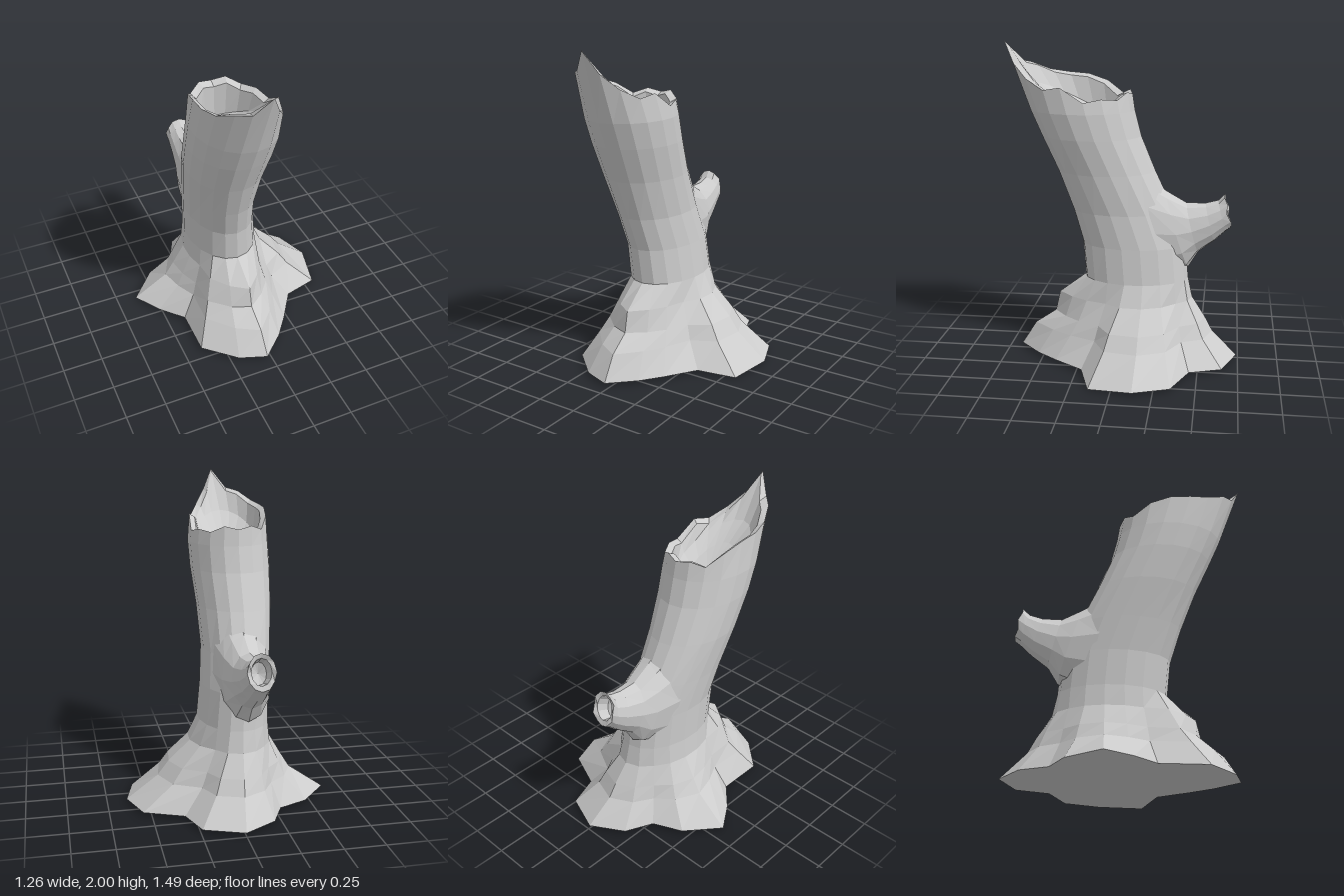
import * as THREE from 'three';

const V = (x, y, z) => new THREE.Vector3(x, y, z);
const material = new THREE.MeshStandardMaterial({ color: 0xcccccc, flatShading: true });
const N = 18; // columns round the trunk, starting at the front and turning towards +x

// Skin closed rings of points, skipping triangles that collapse at a cap.
function loft(name, rings) {
  const pos = [];
  const tri = (a, b, c) => {
    if (a.distanceTo(b) > 1e-5 && b.distanceTo(c) > 1e-5 && c.distanceTo(a) > 1e-5)
      pos.push(...a, ...b, ...c);
  };
  for (let i = 0; i + 1 < rings.length; i++) {
    const lo = rings[i], hi = rings[i + 1], n = lo.length;
    for (let j = 0; j < n; j++) {
      const k = (j + 1) % n;
      tri(lo[j], lo[k], hi[k]);
      tri(lo[j], hi[k], hi[j]);
    }
  }
  const geometry = new THREE.BufferGeometry();
  geometry.setAttribute('position', new THREE.Float32BufferAttribute(pos, 3));
  geometry.computeVertexNormals();
  const mesh = new THREE.Mesh(geometry, material);
  mesh.name = name;
  return mesh;
}

// Leaning trunk sections: height, front z, back z, min x, max x
const sections = [
  [0.52, 0.24, -0.42, -0.27, 0.17],
  [0.74, 0.26, -0.40, -0.275, 0.145],
  [0.95, 0.325, -0.32, -0.30, 0.125],
  [1.20, 0.42, -0.20, -0.335, 0.135],
  [1.42, 0.52, -0.11, -0.35, 0.155],
  [1.58, 0.59, -0.07, -0.35, 0.16],
  [1.74, 0.65, -0.045, -0.345, 0.14],
  [2.00, 0.745, 0.05, -0.29, 0.13],
];

// Point on the trunk at height y in column j, shrunk towards the axis by s
function trunkPoint(y, j, s = 1) {
  let i = 0;
  while (i < sections.length - 2 && y > sections[i + 1][0]) i++;
  const a = sections[i], b = sections[i + 1], t = (y - a[0]) / (b[0] - a[0]);
  const [, front, back, x0, x1] = a.map((v, k) => v + (b[k] - v) * t);
  const ang = (j / N) * Math.PI * 2;
  return V((x0 + x1) / 2 + Math.sin(ang) * (x1 - x0) / 2 * s, y,
    (front + back) / 2 + Math.cos(ang) * (front - back) / 2 * s);
}

const ring = (fn) => Array.from({ length: N }, (_, j) => fn(j));

// Ground outline of the roots (x, z) and how far each root bulges (lower = fuller)
const outline = [
  [-0.03, 0.67], [0.12, 0.53], [0.22, 0.40], [0.345, 0.215], [0.57, 0.14], [0.63, -0.13],
  [0.55, -0.35], [0.31, -0.45], [0.24, -0.65], [0, -0.74], [-0.2, -0.62], [-0.28, -0.45],
  [-0.46, -0.37], [-0.63, -0.17], [-0.52, 0], [-0.39, 0.14], [-0.39, 0.435], [-0.2, 0.61],
];
const bulge = [1, 1, 1, 1.1, 0.9, 0.9, 1, 1.2, 1.1, 1.1, 1.1, 1.2, 1.3, 1.5, 1.4, 1.2, 0.9, 1];
// Root spread by height: y, general spread, spread of the stepped front root
const flare = [[0.02, 1, 1], [0.17, 0.54, 0.78], [0.26, 0.39, 0.47], [0.39, 0.11, 0.4]];

// Height of the broken rim in each column
const rimHeight = [2.0, 1.87, 1.78, 1.72, 1.74, 1.65, 1.67, 1.66, 1.70, 1.68,
  1.70, 1.67, 1.74, 1.78, 1.79, 1.81, 1.86, 1.88];

function buildTrunk() {
  const rings = [ring(() => V(0, 0.02, 0))];
  // Roots
  for (const [y, f, frontSpread] of flare) {
    rings.push(ring((j) => {
      const p = trunkPoint(0.52, j);
      const frontness = Math.max(0, 1 - Math.min(j, N - j) / 3);
      const k = THREE.MathUtils.lerp(f ** bulge[j], frontSpread, frontness);
      return V(p.x + (outline[j][0] - p.x) * k, y === 0.02 && j === 4 ? 0 : y,
        p.z + (outline[j][1] - p.z) * k);
    }));
  }
  // Outer bark up to the splintered rim
  for (const [y] of sections.slice(0, 6)) rings.push(ring((j) => trunkPoint(y, j)));
  rings.push(ring((j) => trunkPoint(rimHeight[j], j)));
  // Scooped hollow, sloping from the tall front splinter down to the back
  const slope = (j) => Math.cos((j / N) * Math.PI * 2);
  rings.push(ring((j) => trunkPoint(rimHeight[j] - 0.02, j, j === 0 ? 0.96 : 0.85)));
  rings.push(ring((j) => trunkPoint(1.6 + 0.14 * slope(j), j, 0.72)));
  rings.push(ring((j) => trunkPoint(1.53 + 0.1 * slope(j), j, 0.45)));
  rings.push(ring((j) => trunkPoint(1.5, j, 0)));
  return loft('trunk', rings);
}

// Short broken branch: top z, top y, bottom z, bottom y, half width
function buildBranch() {
  const stations = [
    [-0.12, 1.18, -0.25, 0.50, 0.185],
    [-0.27, 1.075, -0.42, 0.58, 0.15],
    [-0.40, 1.00, -0.48, 0.68, 0.118],
    [-0.52, 1.00, -0.58, 0.755, 0.097],
    [-0.60, 1.02, -0.65, 0.82, 0.087],
    [-0.64, 1.06, -0.685, 0.845, 0.085],
    [-0.635, 1.03, -0.67, 0.875, 0.06],
    [-0.57, 0.99, -0.60, 0.86, 0.045],
    [-0.56, 0.92, -0.56, 0.92, 0],
  ];
  const sides = 12;
  return loft('branch', stations.map(([tz, ty, bz, by, rx], i) =>
    Array.from({ length: sides }, (_, j) => {
      const a = (j / sides) * Math.PI * 2, c = Math.cos(a) / 2;
      const chip = i === 5 ? 0.008 * Math.sin(j * 2.6) : 0; // ragged end
      return V(-0.08 - 0.004 * Math.min(i, 5) + Math.sin(a) * rx,
        (ty + by) / 2 + c * (ty - by), (tz + bz) / 2 + c * (tz - bz) + chip);
    })));
}

export function createModel() {
  const group = new THREE.Group();
  group.name = 'treeStump';
  group.add(buildTrunk(), buildBranch());
  return group;
}
